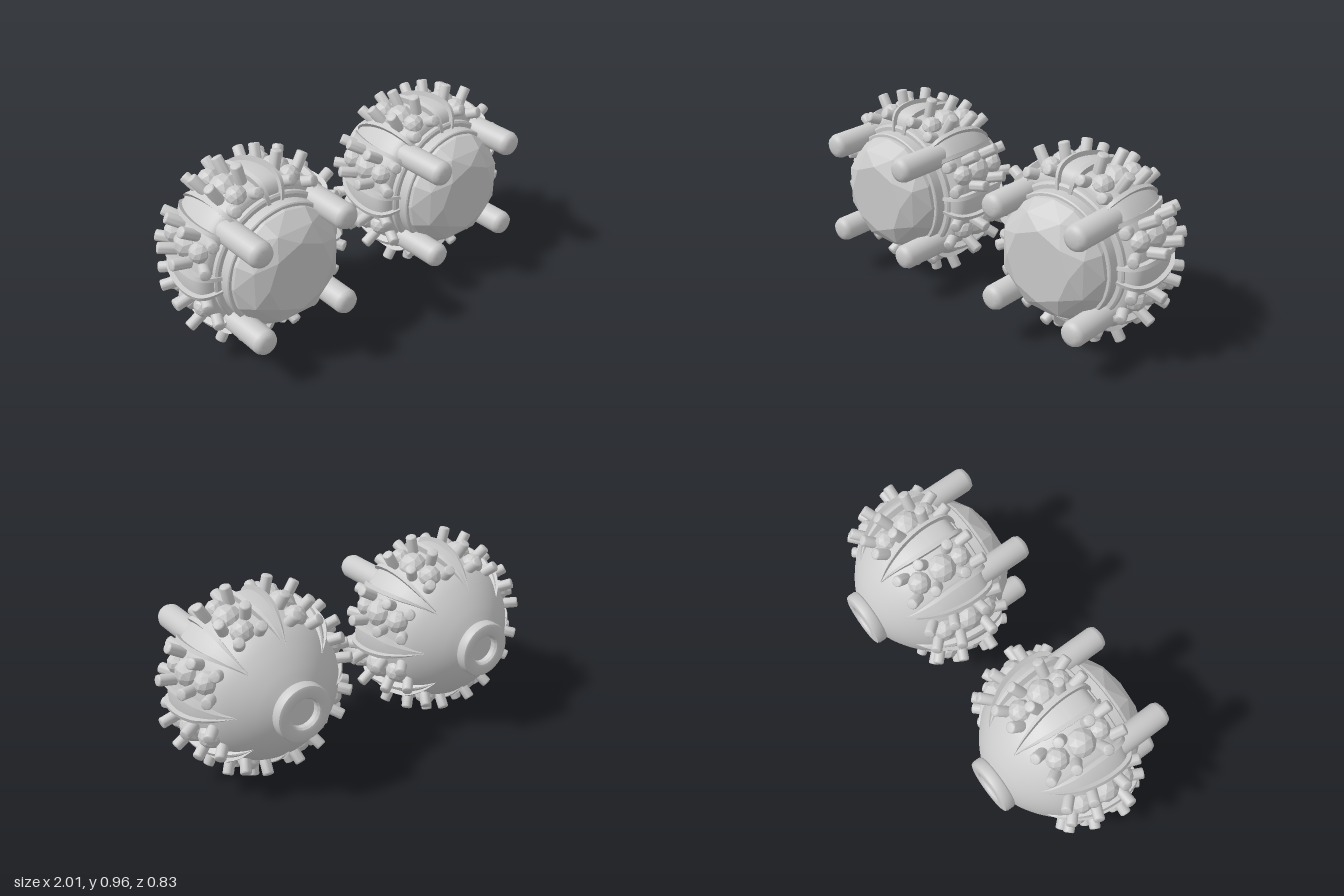
import * as THREE from 'three';
import { toCreasedNormals } from 'three/addons/utils/BufferGeometryUtils.js';
import { ConvexGeometry } from 'three/addons/geometries/ConvexGeometry.js';

const smooth = new THREE.MeshStandardMaterial({ color: 0xcccccc });
const thin = new THREE.MeshStandardMaterial({ color: 0xcccccc, side: THREE.DoubleSide });
const faceted = new THREE.MeshStandardMaterial({ color: 0xcccccc, flatShading: true });
const V2 = (x, y) => new THREE.Vector2(x, y);

// Body profile as (radius, z), running from the back to the front shoulder
const profile = new THREE.SplineCurve([
  V2(0.125, -0.36), V2(0.19, -0.325), V2(0.262, -0.27), V2(0.325, -0.2), V2(0.367, -0.11),
  V2(0.388, -0.03), V2(0.395, 0.05), V2(0.385, 0.12), V2(0.355, 0.15), V2(0.3, 0.16)
]);

// Turned part around the z axis
function turned(points, segments = 64, crease = 0.6) {
  const g = new THREE.LatheGeometry(points.map(p => (p.isVector2 ? p : V2(...p))), segments);
  return toCreasedNormals(g.rotateX(Math.PI / 2), crease);
}

function add(parent, name, geometry, material) {
  const m = new THREE.Mesh(geometry, material);
  m.name = name;
  parent.add(m);
  return m;
}

// Strip swept along the body profile; section(u) lists [sideways, height] pairs
function strip(section) {
  const steps = 36, pos = [], idx = [];
  let n = 0;
  for (let i = 0; i <= steps; i++) {
    const u = i / steps, t = 2 / 9 + u * 7 / 9;
    const p = profile.getPoint(t), d = profile.getTangent(t);
    const s = section(u);
    n = s.length;
    for (const [a, h] of s) {
      const r = p.x + d.y * h, z = p.y - d.x * h, ang = a / 0.41;
      pos.push(r * Math.cos(ang), r * Math.sin(ang), z);
    }
  }
  for (let i = 0; i < steps; i++) {
    for (let j = 0; j < n - 1; j++) {
      const a = i * n + j, b = a + 1, c = a + n, e = c + 1;
      idx.push(a, b, c, b, e, c);
    }
  }
  const g = new THREE.BufferGeometry();
  g.setAttribute('position', new THREE.Float32BufferAttribute(pos, 3));
  g.setIndex(idx);
  return toCreasedNormals(g, 0.6);
}

// Leaf outline: pointed at the back, blunt at the front
const leaf = u => 0.046 * Math.sin(Math.min(1, u * 1.8) * Math.PI / 2) - 0.01 * Math.max(0, u - 0.6) / 0.4;
const rise = u => Math.min(1, u * 3.5);

function petalGeometry() {
  return strip(u => {
    const w = leaf(u), out = [];
    for (let k = -3; k <= 3; k++) out.push([w * k / 3, -0.004 + 0.016 * rise(u)]);
    return out;
  });
}

function rimGeometry(side) {
  return strip(u => {
    const a = leaf(u) + 0.002, b = a + 0.02 * rise(u), h = 0.034 * rise(u);
    const loop = [[a, -0.02], [a, h], [b, h - 0.004], [b, -0.02], [a, -0.02]];
    return loop.map(([x, y]) => [x * side, y]);
  });
}

// Large cut stone: girdle, staggered crown rings and a flat table
function centreStoneGeometry() {
  const pts = [];
  const ring = (n, r, z, shift) => {
    for (let i = 0; i < n; i++) {
      const a = (i + shift) / n * Math.PI * 2;
      pts.push(new THREE.Vector3(r * Math.cos(a), r * Math.sin(a), z));
    }
  };
  ring(24, 0.29, 0.2, 0);
  ring(16, 0.29, 0.252, 0);
  ring(8, 0.245, 0.322, 0.5);
  ring(8, 0.175, 0.36, 0);
  return new ConvexGeometry(pts);
}

// Rounded peg along z, starting at the origin
const peg = (r, len, bevel, seg) => turned([
  [0, 0], [r, 0], [r, len - bevel], [r - bevel * 0.3, len - bevel * 0.3], [r - bevel, len], [0, len]
], seg, 0.9);

// Claw rows as [base radius, base z, tip radius, tip z]
const clawRows = [
  [0.35, 0.1, 0.4, 0.195], [0.35, 0.06, 0.486, 0.055],
  [0.35, -0.06, 0.455, -0.11], [0.32, -0.155, 0.393, -0.225]
];
// Small stones as [orbit radius, z, stone radius]
const stones = [[0.375, 0.095, 0.052], [0.362, -0.005, 0.074], [0.352, -0.13, 0.057]];

function createStud() {
  const stud = new THREE.Group();
  stud.name = 'stud';

  add(stud, 'body', turned([V2(0, -0.36), ...profile.getPoints(54), V2(0, 0.16)]), smooth);
  add(stud, 'collar', turned([
    [0.306, 0.14], [0.306, 0.23], [0.301, 0.235], [0.288, 0.235], [0.284, 0.225], [0.284, 0.15]
  ]), thin);
  add(stud, 'collarStep', turned([[0.335, 0.14], [0.335, 0.175], [0.325, 0.182], [0.3, 0.182]]), thin);
  add(stud, 'backRing', turned([
    [0, -0.375], [0.07, -0.375], [0.07, -0.4], [0.078, -0.411], [0.09, -0.415], [0.122, -0.415],
    [0.135, -0.41], [0.14, -0.398], [0.14, -0.365], [0.135, -0.357], [0.12, -0.35]
  ]), thin);
  add(stud, 'centreStone', centreStoneGeometry(), faceted);

  // Four long prongs holding the centre stone
  const prong = peg(0.061, 0.315, 0.03, 28);
  for (const x of [-0.232, 0.232]) {
    for (const y of [-0.232, 0.232]) add(stud, 'prong', prong, smooth).position.set(x, y, 0.1);
  }

  // Eight leaf panels with raised rims, and stone clusters between them
  const petal = petalGeometry(), rims = [rimGeometry(1), rimGeometry(-1)];
  const stone = new THREE.IcosahedronGeometry(1, 1);
  const claws = clawRows.map(([r0, z0, r1, z1]) => peg(0.027, Math.hypot(r1 - r0, z1 - z0), 0.007, 14));
  for (let i = 0; i < 8; i++) {
    const panel = new THREE.Group();
    panel.name = 'leafPanel';
    panel.rotation.z = i * Math.PI / 4;
    add(panel, 'leaf', petal, thin);
    rims.forEach(g => add(panel, 'leafRim', g, thin));
    stud.add(panel);

    const cluster = new THREE.Group();
    cluster.name = 'stoneCluster';
    cluster.rotation.z = (i + 0.5) * Math.PI / 4;
    for (const [r, z, size] of stones) {
      const m = add(cluster, 'smallStone', stone, faceted);
      m.position.set(r, 0, z);
      m.scale.setScalar(size);
    }
    for (const side of [-1, 1]) {
      const pair = new THREE.Group();
      pair.name = 'clawRow';
      pair.rotation.z = side * 0.163;
      clawRows.forEach(([r0, z0, r1, z1], k) => {
        const m = add(pair, 'claw', claws[k], smooth);
        m.position.set(r0, 0, z0);
        m.rotation.y = Math.atan2(r1 - r0, z1 - z0);
      });
      cluster.add(pair);
    }
    stud.add(cluster);
  }
  return stud;
}

export function createModel() {
  const model = new THREE.Group();
  model.name = 'studPair';
  const left = createStud();
  left.name = 'leftStud';
  left.position.set(0.527, 0.473, 0);
  const right = left.clone();
  right.name = 'rightStud';
  right.position.x = -0.527;
  model.add(left, right);
  return model;
}
